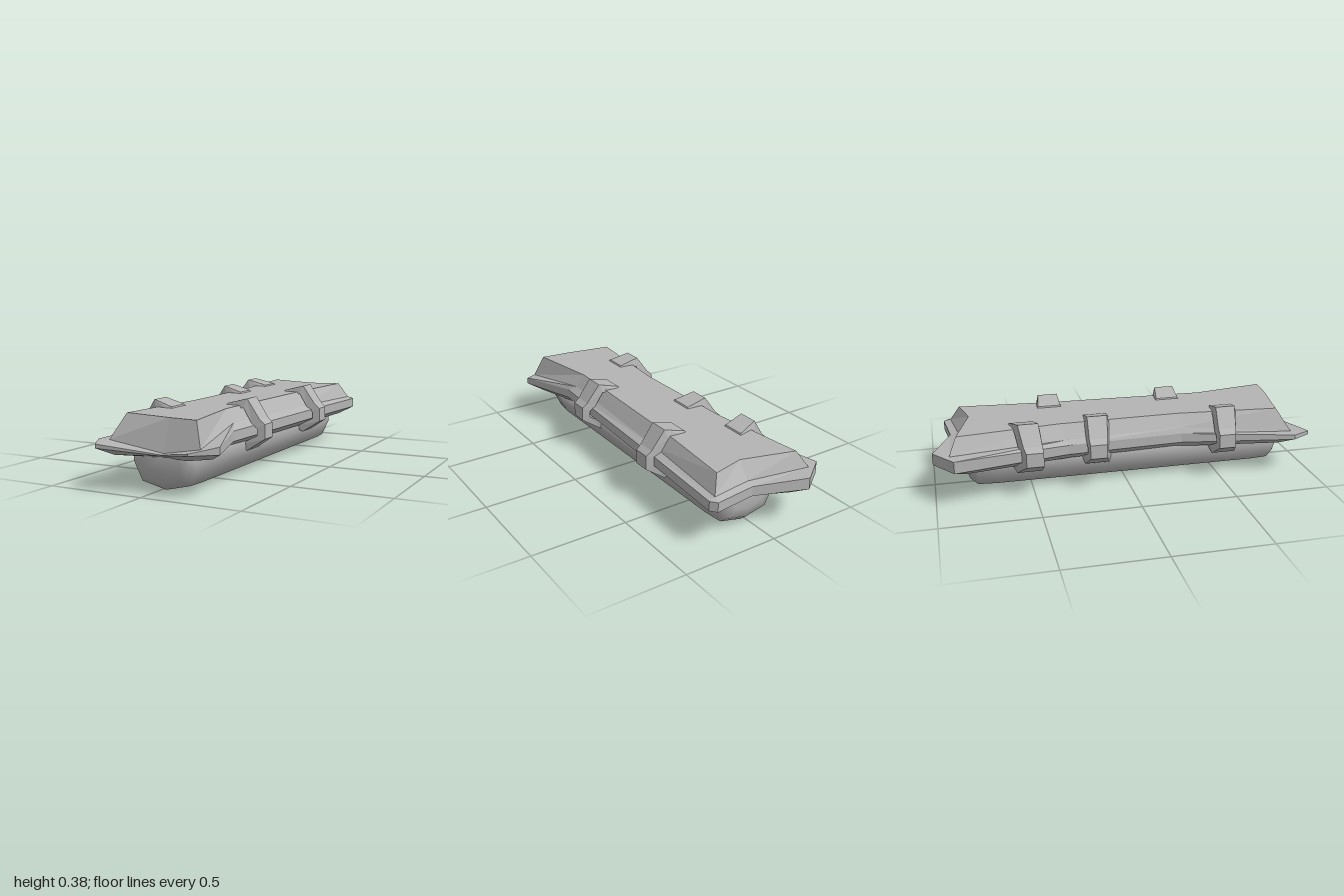
import * as THREE from 'three';
import { mergeVertices } from 'three/addons/utils/BufferGeometryUtils.js';

// Skin a list of closed rings and close both ends with a fan
function loft(rings) {
  const pos = [];
  const tri = (a, b, c) => pos.push(...a, ...b, ...c);
  const n = rings[0].length;
  for (let k = 0; k < rings.length - 1; k++) {
    const a = rings[k], b = rings[k + 1];
    for (let i = 0; i < n; i++) {
      const j = (i + 1) % n;
      tri(a[i], a[j], b[j]);
      tri(a[i], b[j], b[i]);
    }
  }
  const centre = (r) => [0, 1, 2].map((d) => r.reduce((s, p) => s + p[d], 0) / n);
  const first = rings[0], last = rings[rings.length - 1];
  const c0 = centre(first), c1 = centre(last);
  for (let i = 0; i < n; i++) {
    const j = (i + 1) % n;
    tri(c0, first[j], first[i]);
    tri(c1, last[i], last[j]);
  }
  const g = new THREE.BufferGeometry();
  g.setAttribute('position', new THREE.Float32BufferAttribute(pos, 3));
  g.computeVertexNormals();
  return g;
}

export function createModel() {
  const group = new THREE.Group();
  const grey = new THREE.MeshStandardMaterial({ color: 0xb4b4b4 });
  grey.name = 'grey';
  const add = (name, geometry) => {
    const mesh = new THREE.Mesh(geometry, grey);
    mesh.name = name;
    group.add(mesh);
  };

  // Armour plate: rim [x, z, y], foot of the raised panel [x, z, y], panel top [x, z]
  const outline = [
    [[-0.246, 0.995, 0.22], [-0.24, 0.894, 0.225], [-0.19, 0.82]],
    [[0.07, 0.936, 0.187], [0.07, 0.915, 0.19], [0.07, 0.865]],
    [[0.225, 0.968, 0.21], [0.265, 0.925, 0.225], [0.22, 0.88]],
    [[0.335, 0.878, 0.235], [0.265, 0.925, 0.225], [0.22, 0.88]],
    [[0.23, 0.556, 0.25], [0.2, 0.5, 0.28], [0.155, 0.49]],
    [[0.272, -0.36, 0.25], [0.235, -0.36, 0.27], [0.185, -0.36]],
    [[0.304, -0.894, 0.25], [0.27, -0.89, 0.26], [0.225, -0.84]],
    [[0.278, -0.926, 0.25], [0.27, -0.89, 0.26], [0.225, -0.84]],
    [[0.06, -0.9, 0.25], [0.06, -0.86, 0.26], [0.06, -0.8]],
    [[-0.2, -1, 0.26], [-0.265, -0.92, 0.262], [-0.215, -0.88]],
    [[-0.336, -0.9, 0.262], [-0.265, -0.92, 0.262], [-0.215, -0.88]],
    [[-0.225, -0.32, 0.25], [-0.2, -0.33, 0.27], [-0.155, -0.35]],
    [[-0.2, 0.29, 0.25], [-0.185, 0.3, 0.28], [-0.145, 0.28]],
    [[-0.3, 0.894, 0.225], [-0.24, 0.894, 0.225], [-0.19, 0.82]],
  ];
  const plate = loft([
    outline.map(([o]) => [o[0] * 0.78, 0.162, o[1] * 0.925]),
    outline.map(([o]) => [o[0], Math.min(0.2, o[2] - 0.005), o[1]]),
    outline.map(([o]) => [o[0], o[2], o[1]]),
    outline.map(([, l]) => [l[0], l[2], l[1]]),
    outline.map(([, , t]) => [t[0], 0.345, t[1]]),
  ]);
  add('armourPlate', plate);

  // Rounded pad hanging below the plate
  const profile = [[-0.165, 0.2], [-0.165, 0.115], [-0.12, 0.03], [0.02, 0], [0.155, 0.03], [0.2, 0.12], [0.2, 0.2]];
  const stations = [
    [-0.835, 0.55, 0.55], [-0.82, 0.8, 0.82], [-0.78, 0.93, 1], [-0.68, 1, 1],
    [0.72, 1, 1], [0.82, 0.93, 1], [0.86, 0.8, 0.82], [0.875, 0.55, 0.55],
  ];
  const pad = loft(stations.map(([z, sx, sy]) =>
    profile.map(([x, y]) => [0.018 + (x - 0.018) * sx, 0.2 + (y - 0.2) * sy, z])));
  pad.deleteAttribute('normal');
  const smoothPad = mergeVertices(pad, 1e-4);
  smoothPad.computeVertexNormals();
  add('pad', smoothPad);

  // Clips wrapped around the rim: inner point, outer point, half width
  const path = [
    [0.09, 0.325, 0.105, 0.352, 0.075],
    [0.2, 0.335, 0.215, 0.38, 0.065],
    [0.245, 0.26, 0.285, 0.282, 0.06],
    [0.275, 0.235, 0.313, 0.258, 0.055],
    [0.275, 0.2, 0.315, 0.185, 0.055],
    [0.19, 0.155, 0.22, 0.122, 0.08],
    [0.17, 0.16, 0.18, 0.135, 0.08],
  ];
  const clip = (side, z, shift, tilt) => {
    const rings = path.map(([ix, iy, ox, oy, w]) => {
      const at = (x, y, dz) => [side * (x + shift), y, z + dz + tilt * (0.2 - x)];
      return [at(ix, iy, w), at(ix, iy, -w), at(ox, oy, -w * 0.8), at(ox, oy, w * 0.8)];
    });
    const g = loft(side > 0 ? rings : rings.reverse());
    add(side > 0 ? 'leftClip' : 'rightClip', g);
  };
  clip(1, -0.36, 0, -0.05);
  clip(1, 0.3, -0.017, -0.1);
  clip(-1, -0.525, 0, -0.2);
  clip(-1, -0.16, -0.035, 0.1);
  clip(-1, 0.53, -0.02, 0.12);

  // Hard facets on everything except the pad
  const facet = grey.clone();
  facet.flatShading = true;
  group.children.forEach((m) => { if (m.name !== 'pad') m.material = facet; });
  return group;
}
